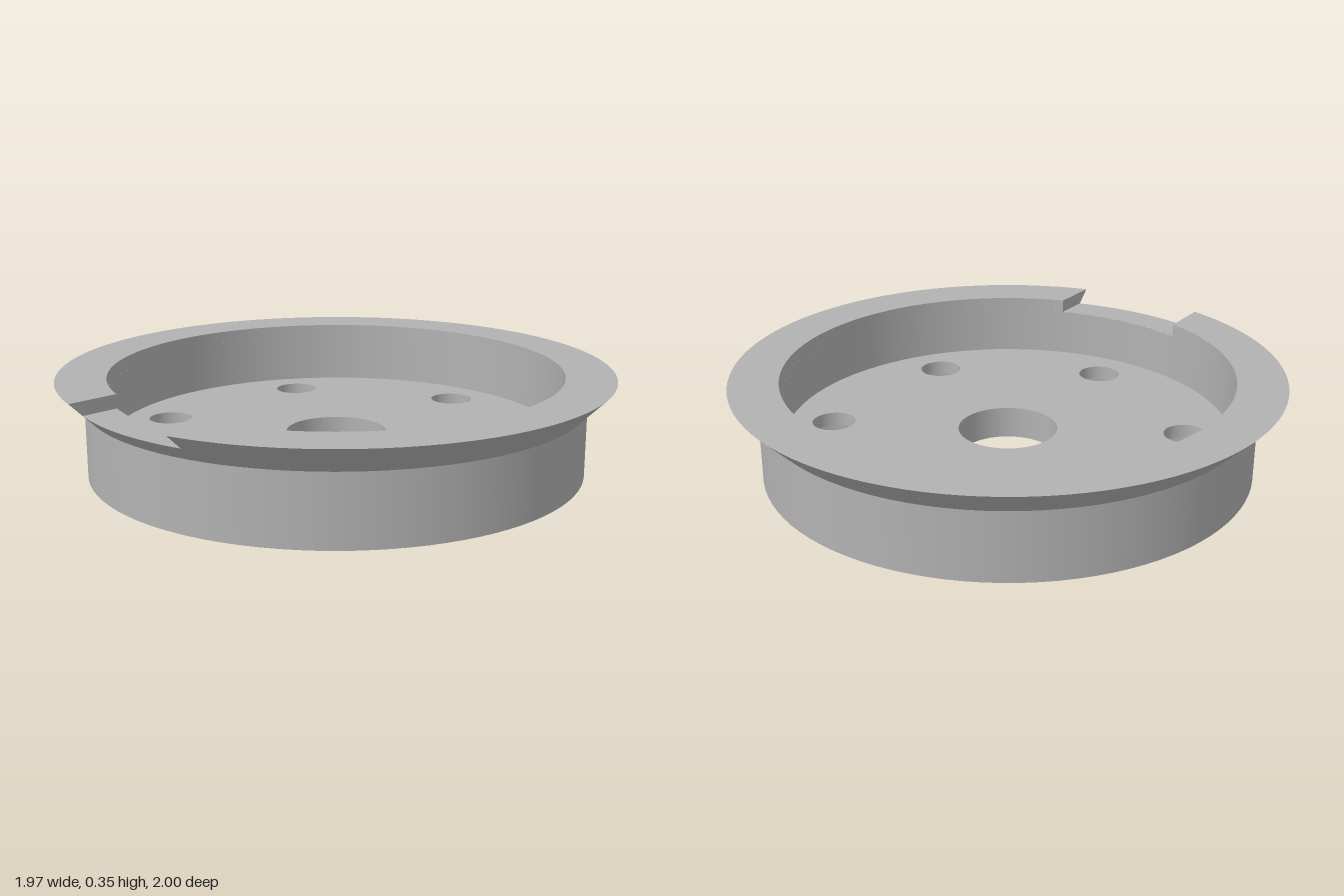
import * as THREE from 'three';

const SEG = 96;
const NOTCH = 0.26;                       // half width of the rim notch
const FLOOR = 0.12, LEDGE = 0.07, STEP = 0.3, TOP = 0.35;
const BORE = 0.182, BOLT = 0.08, COUNTERBORE = 0.14, BOLT_CIRCLE = 0.652;

// Turned surface following a profile of [radius, y], with sharp edges between bands.
// mode: 'full' ring, 'open' ring without the notch, 'gap' only the notch
function turned(profile, mode = 'full') {
  const pos = [], nor = [], idx = [];
  const range = (r) => {
    const a = Math.asin(Math.min(1, NOTCH / r));
    if (mode === 'open') return [a - Math.PI, Math.PI - a];
    if (mode === 'gap') return [Math.PI - a, Math.PI + a];
    return [0, Math.PI * 2];
  };
  for (let k = 0; k + 1 < profile.length; k++) {
    const [a, b] = [profile[k], profile[k + 1]];
    const dr = b[0] - a[0], dy = b[1] - a[1], len = Math.hypot(dr, dy);
    const base = pos.length / 3;
    for (let i = 0; i <= SEG; i++) {
      for (const [r, y] of [a, b]) {
        const [t0, t1] = range(r);
        const t = t0 + ((t1 - t0) * i) / SEG;
        pos.push(r * Math.cos(t), y, r * Math.sin(t));
        nor.push((dy / len) * Math.cos(t), -dr / len, (dy / len) * Math.sin(t));
      }
      if (i < SEG) {
        const p = base + i * 2;
        idx.push(p, p + 1, p + 2, p + 2, p + 1, p + 3);
      }
    }
  }
  const g = new THREE.BufferGeometry();
  g.setAttribute('position', new THREE.Float32BufferAttribute(pos, 3));
  g.setAttribute('normal', new THREE.Float32BufferAttribute(nor, 3));
  g.setIndex(idx);
  return g;
}

const boltCentres = Array.from({ length: 6 }, (_, i) => {
  const t = (i * Math.PI) / 3;
  return [BOLT_CIRCLE * Math.cos(t), BOLT_CIRCLE * Math.sin(t)];
});

// Flat disc with the centre bore and six bolt holes
function drilledDisc(radius, holeRadius) {
  const shape = new THREE.Shape().absarc(0, 0, radius, 0, Math.PI * 2, false);
  for (const [x, y, r] of [[0, 0, BORE], ...boltCentres.map((c) => [...c, holeRadius])]) {
    shape.holes.push(new THREE.Path().absarc(x, y, r, 0, Math.PI * 2, true));
  }
  return new THREE.ShapeGeometry(shape, SEG / 2);
}

export function createModel() {
  const model = new THREE.Group();
  model.name = 'flangedCup';
  const metal = new THREE.MeshStandardMaterial({ color: 0xb2b2b2 });
  metal.name = 'plain grey';

  const body = new THREE.Group();
  body.name = 'body';
  body.position.x = -0.017;
  model.add(body);
  const add = (name, geometry) => {
    const mesh = new THREE.Mesh(geometry, metal);
    mesh.name = name;
    body.add(mesh);
    return mesh;
  };

  // Outer wall with the lower flare, and the inner wall
  add('outerWall', turned([[0.9, 0], [0.9, 0.25], [0.95, STEP]]));
  add('innerWall', turned([[0.82, STEP], [0.82, FLOOR]]));

  // Upper rim, interrupted by the notch
  const rim = [[0.95, STEP], [1, TOP], [0.82, TOP], [0.82, STEP]];
  add('flaredRim', turned(rim, 'open'));
  add('notchFloor', turned([[0.95, STEP], [0.82, STEP]], 'gap'));
  for (const s of [1, -1]) {
    const corners = rim.map(([r, y]) => new THREE.Vector2(-s * Math.sqrt(r * r - NOTCH * NOTCH), y));
    const cheek = add('notchCheek', new THREE.ShapeGeometry(new THREE.Shape(corners)));
    cheek.position.z = -s * NOTCH;
    if (s < 0) cheek.rotation.y = Math.PI;
  }

  // Floor plate, top and underside
  add('floorTop', drilledDisc(0.82, BOLT).rotateX(-Math.PI / 2).translate(0, FLOOR, 0));
  add('underside', drilledDisc(0.9, COUNTERBORE).rotateX(Math.PI / 2));

  // Centre bore and counterbored bolt holes
  add('centreBore', turned([[BORE, FLOOR], [BORE, 0]]));
  const boltHole = turned([[BOLT, FLOOR], [BOLT, LEDGE], [COUNTERBORE, LEDGE], [COUNTERBORE, 0]]);
  for (const [x, z] of boltCentres) add('boltHole', boltHole).position.set(x, 0, z);

  return model;
}
